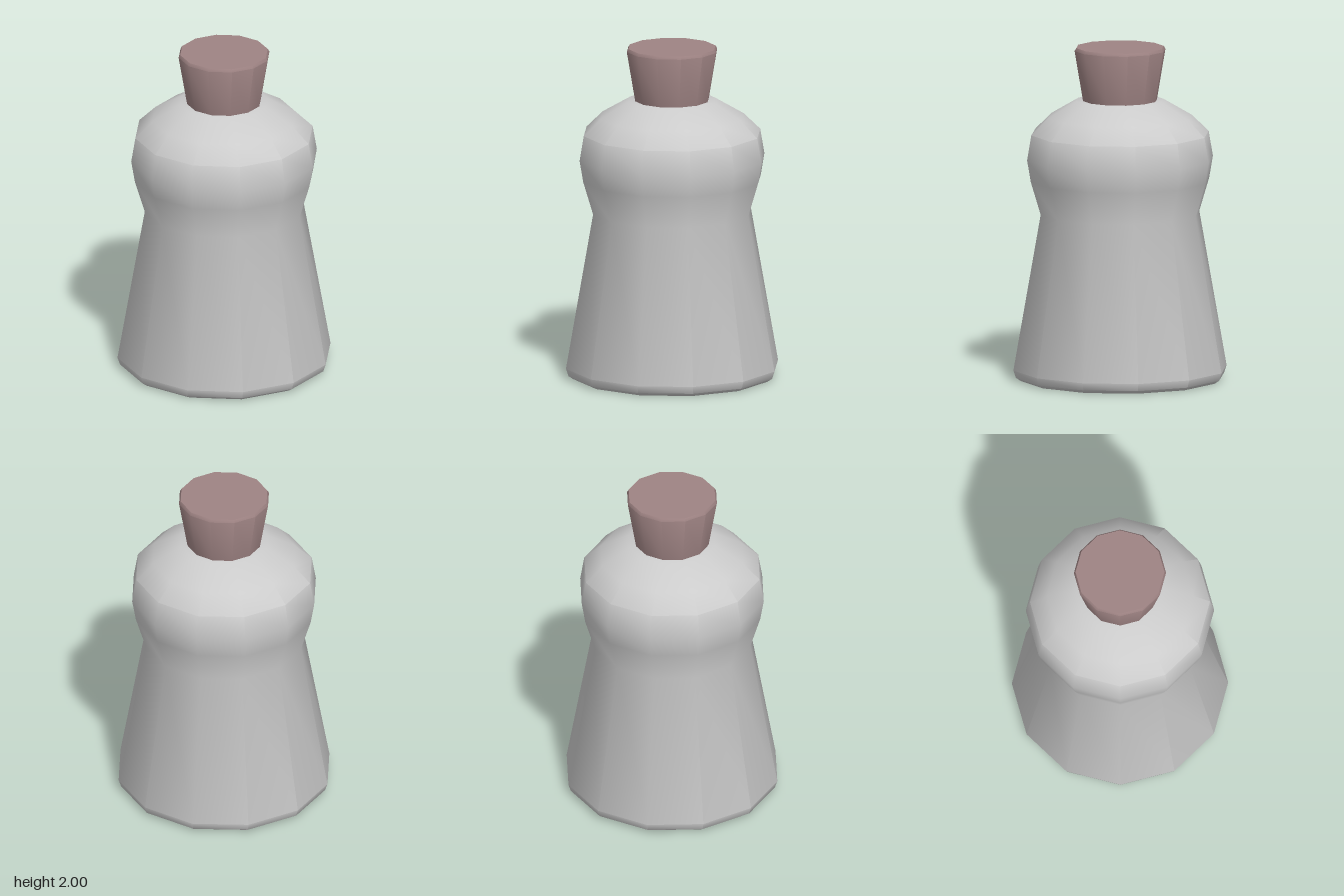
import * as THREE from 'three';
import { toCreasedNormals } from 'three/addons/utils/BufferGeometryUtils.js';

const SIDES = 12;

// Revolve a bottom-to-top profile of [radius, height] pairs
function turned(name, profile, color) {
  const points = profile.map(([r, y]) => new THREE.Vector2(r, y));
  const geometry = toCreasedNormals(new THREE.LatheGeometry(points, SIDES), THREE.MathUtils.degToRad(40));
  const mesh = new THREE.Mesh(geometry, new THREE.MeshStandardMaterial({ color }));
  mesh.name = name;
  return mesh;
}

export function createModel() {
  const model = new THREE.Group();
  model.name = 'bottle';

  // Flared body with a narrow waist, bulging shoulder and flat base
  model.add(turned('body', [
    [0, 0], [0.57, 0], [0.6, 0], [0.63, 0.02], [0.645, 0.065],
    [0.48, 1.0], [0.54, 1.2], [0.562, 1.33], [0.537, 1.48],
    [0.435, 1.58], [0.265, 1.68], [0, 1.68],
  ], 0xcccccc));

  // Tapered stopper, wider at the top, with a thin bevelled rim
  model.add(turned('stopper', [
    [0, 1.67], [0.222, 1.67], [0.275, 1.983], [0.265, 2], [0, 2],
  ], 0x9e8383));

  return model;
}
